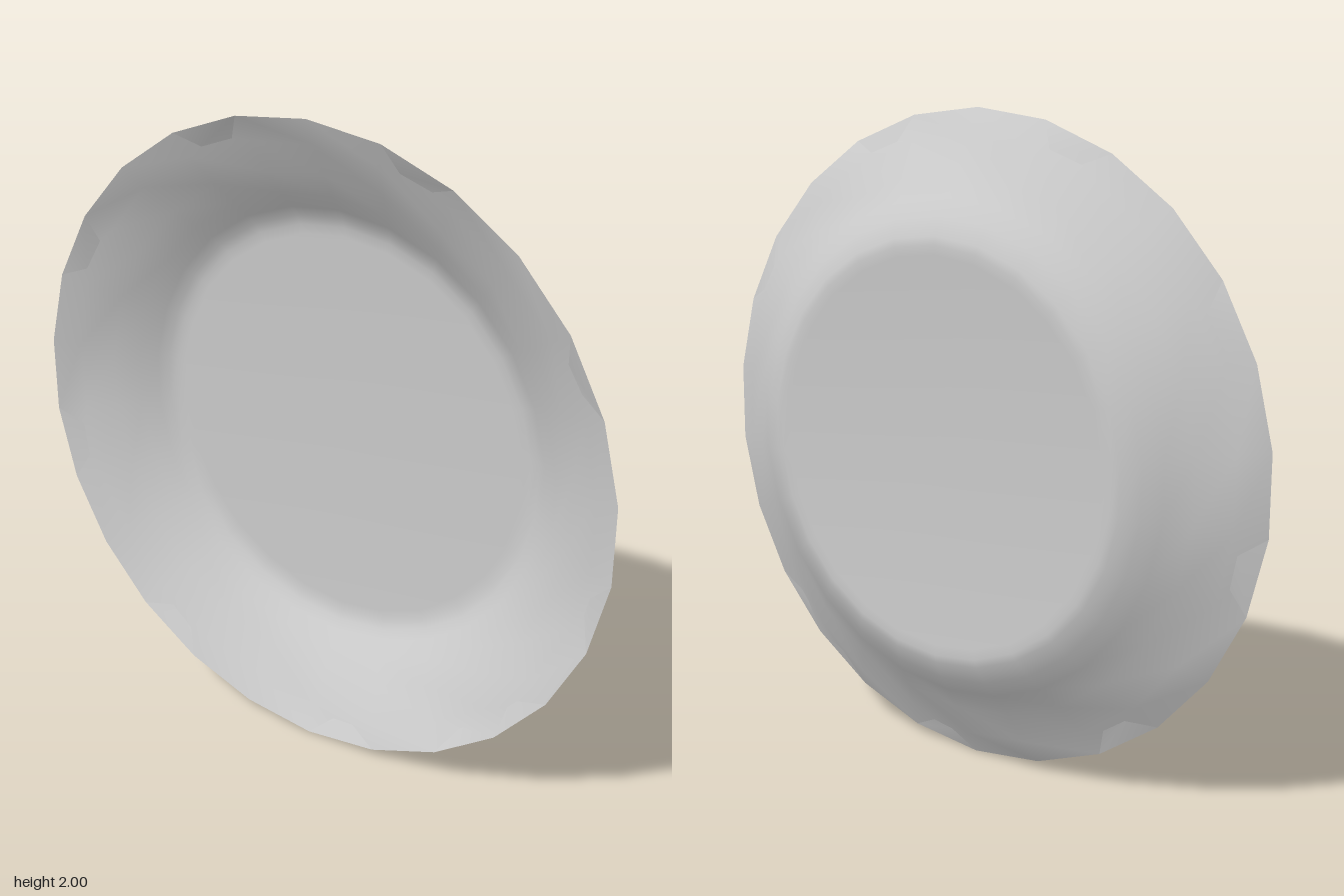
import * as THREE from 'three';
import { mergeVertices, toCreasedNormals } from 'three/addons/utils/BufferGeometryUtils.js';

const SIDES = 26;
const FLUTES = 9;

// Closed section as [radius, depth]: back from the centre out, then front from the rim in
const section = [
  [0, -0.102], [0.59, -0.102], [0.62, -0.105], [0.645, -0.1],
  [0.7, -0.075], [0.75, -0.042], [0.82, 0.002], [0.92, 0.055],
  [1, 0.1],
  [0.92, 0.063], [0.82, 0.013], [0.75, -0.028], [0.7, -0.06],
  [0.67, -0.079], [0.64, -0.088], [0.61, -0.09], [0, -0.09],
];

export function createModel() {
  const group = new THREE.Group();
  group.name = 'dinnerPlate';

  let geometry = new THREE.LatheGeometry(section.map(([r, d]) => new THREE.Vector2(r, d)), SIDES);

  // Gentle flutes just inside the rim, fading out at the rim and towards the floor
  const pos = geometry.attributes.position;
  for (let i = 0; i < pos.count; i++) {
    const x = pos.getX(i), z = pos.getZ(i);
    const fade = Math.max(0, 1 - Math.abs(Math.hypot(x, z) - 0.92) / 0.08);
    pos.setY(i, pos.getY(i) + 0.013 * fade * Math.cos(FLUTES * Math.atan2(x, z) - 1.88));
  }

  // Weld the seam and smooth everything but the thin rim
  geometry.deleteAttribute('normal');
  geometry.deleteAttribute('uv');
  geometry = toCreasedNormals(mergeVertices(geometry, 1e-4), 0.75);

  // Stand the plate on its edge, hollow side to the front
  geometry.rotateX(Math.PI / 2);
  geometry.translate(0, 1, 0);

  const plate = new THREE.Mesh(
    geometry,
    new THREE.MeshStandardMaterial({ color: 0xcccccc, side: THREE.DoubleSide }),
  );
  plate.name = 'plate';
  group.add(plate);
  return group;
}
